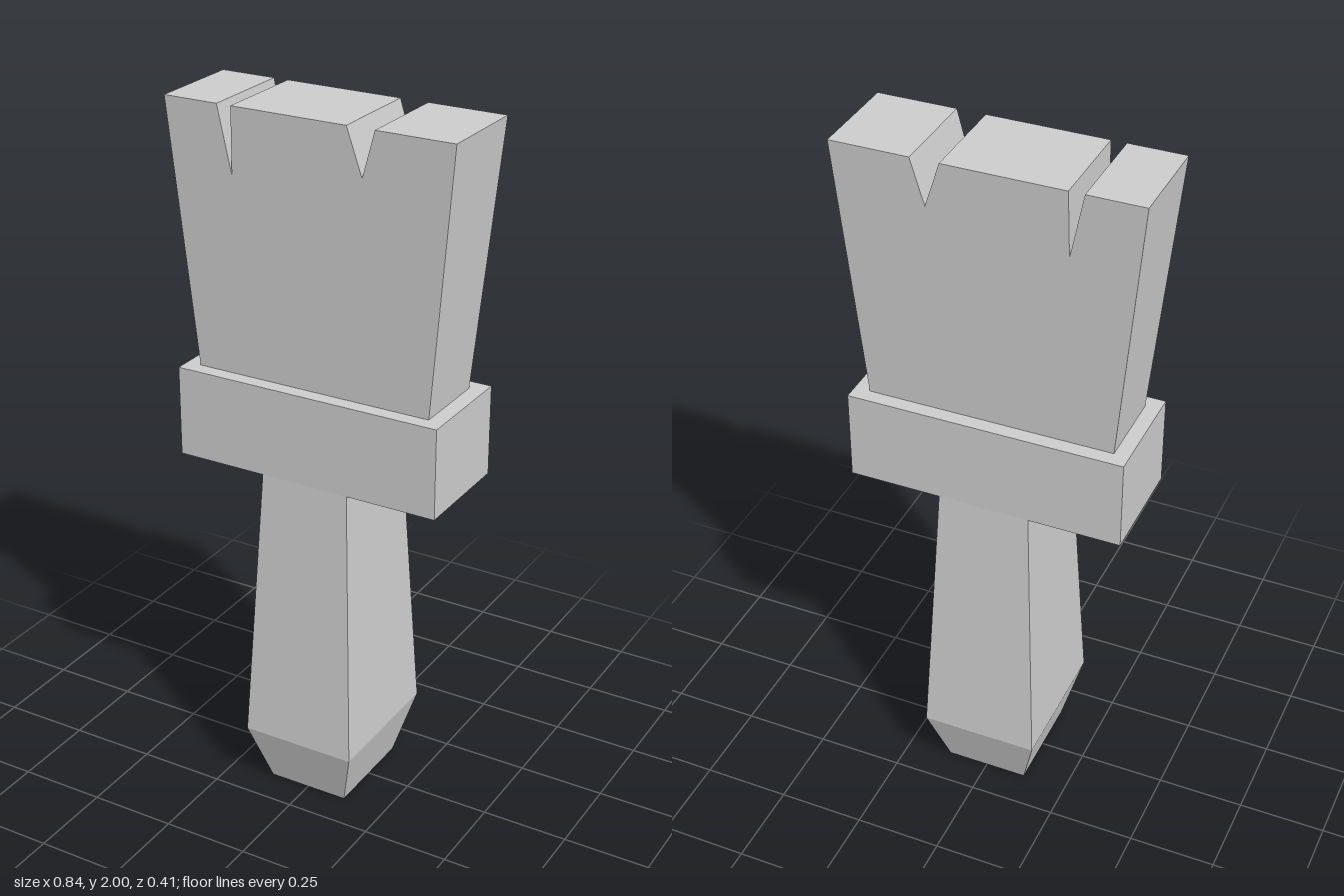
import * as THREE from 'three';

const material = new THREE.MeshStandardMaterial({ color: 0xcccccc, flatShading: true, side: THREE.DoubleSide });

function addMesh(group, name, geometry) {
  geometry.computeVertexNormals();
  const mesh = new THREE.Mesh(geometry, material);
  mesh.name = name;
  group.add(mesh);
}

// Square-cornered solid through rows of [y, half width, half depth], bottom to top
function taperedBlock(rows) {
  const last = rows.length - 1;
  const geometry = new THREE.BoxGeometry(2, last, 2, 1, last, 1);
  const p = geometry.attributes.position;
  for (let i = 0; i < p.count; i++) {
    const [y, hx, hz] = rows[Math.round(p.getY(i) + last / 2)];
    p.setXYZ(i, p.getX(i) * hx, y, p.getZ(i) * hz);
  }
  return geometry;
}

// Flared bristle slab with two V notches, thickening towards the tip
function bristleBlock() {
  const outline = [
    [-0.352, 1.25], [0.35, 1.25], [0.42, 2], [0.197, 2], [0.16, 1.87],
    [0.117, 2], [-0.22, 2], [-0.224, 1.815], [-0.262, 2], [-0.422, 2],
  ];
  const shape = new THREE.Shape(outline.map(([x, y]) => new THREE.Vector2(x, y)));
  const geometry = new THREE.ExtrudeGeometry(shape, { depth: 2, bevelEnabled: false });
  geometry.translate(0, 0, -1);
  const p = geometry.attributes.position;
  for (let i = 0; i < p.count; i++) {
    const t = (p.getY(i) - 1.25) / 0.75;
    p.setZ(i, p.getZ(i) * THREE.MathUtils.lerp(0.115, 0.139, t));
  }
  return geometry;
}

export function createModel() {
  const brush = new THREE.Group();
  brush.name = 'paintBrush';
  addMesh(brush, 'handle', taperedBlock([[0, 0.12, 0.146], [0.18, 0.169, 0.204], [0.99, 0.131, 0.157]]));
  addMesh(brush, 'collar', taperedBlock([[0.99, 0.395, 0.158], [1.25, 0.395, 0.158]]));
  addMesh(brush, 'bristles', bristleBlock());
  return brush;
}
